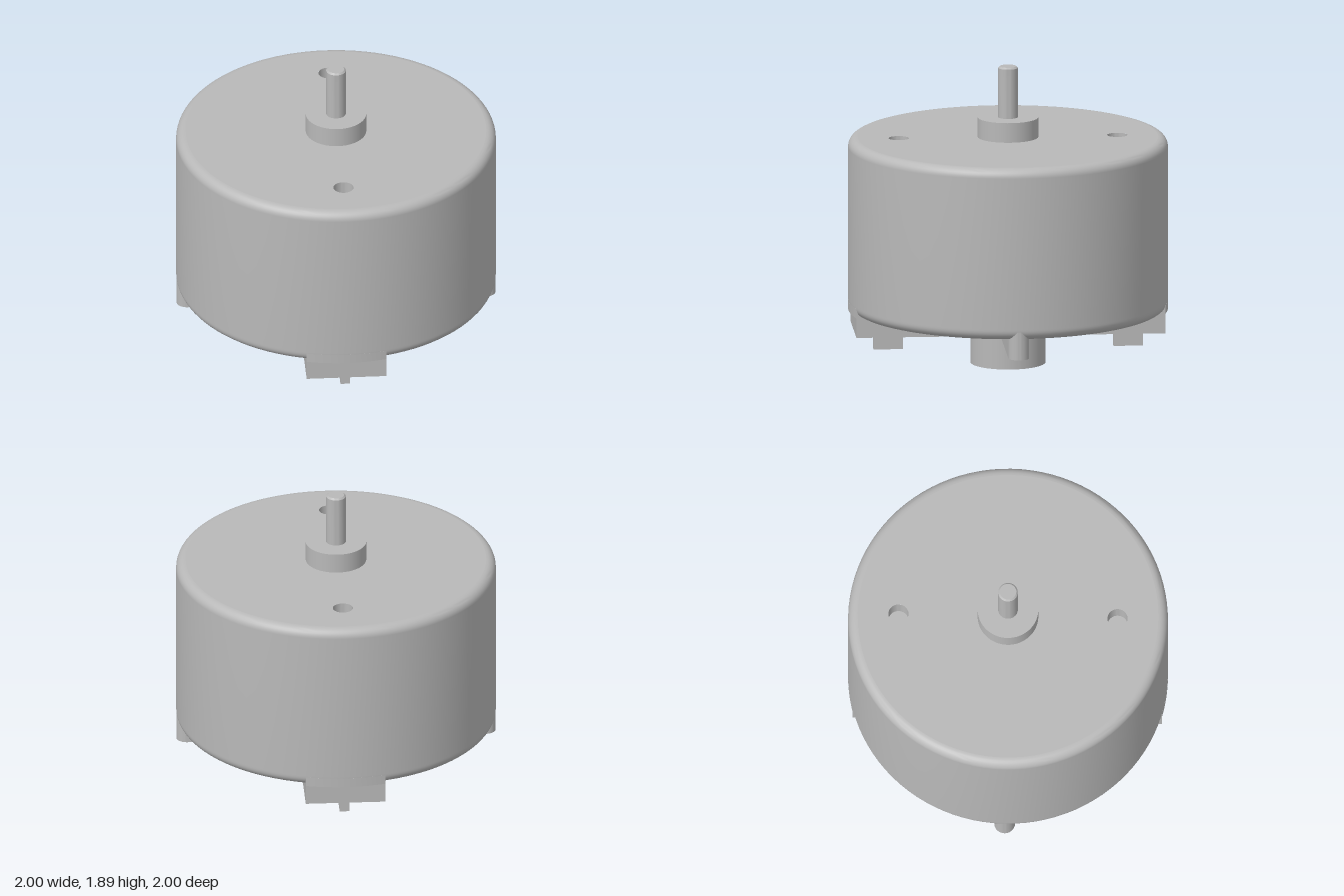
import * as THREE from 'three';
import { toCreasedNormals } from 'three/addons/utils/BufferGeometryUtils.js';

export function createModel() {
  const model = new THREE.Group();
  model.name = 'electricMotor';
  const metal = new THREE.MeshStandardMaterial({ color: 0xb8b8b8 });
  metal.name = 'grey metal';

  const add = (name, geometry, x = 0, y = 0, z = 0) => {
    const mesh = new THREE.Mesh(geometry, metal);
    mesh.name = name;
    mesh.position.set(x, y, z);
    model.add(mesh);
    return mesh;
  };
  const lathe = (points, segments) => toCreasedNormals(
    new THREE.LatheGeometry(points.map(([r, y]) => new THREE.Vector2(r, y)), segments), 0.6);
  // Extrudes a plan shape upwards from y = 0
  const slab = (shape, height) => toCreasedNormals(
    new THREE.ExtrudeGeometry(shape, { depth: height, bevelEnabled: false, curveSegments: 24 })
      .rotateX(-Math.PI / 2), 0.6);

  const bottom = 0.345, top = 1.44, fillet = 0.06;
  const holeRadius = 0.063, holeZ = 0.685;

  // Can with rounded rims, open at the top for the drilled face
  const profile = [[0, bottom], [0.93, bottom]];
  for (let i = 0; i <= 8; i++) {
    const a = (i / 8) * Math.PI / 2;
    profile.push([1 - fillet + fillet * Math.sin(a), bottom + fillet - fillet * Math.cos(a)]);
  }
  profile.push([1, bottom + fillet + 0.01], [1, top - fillet - 0.01]);
  for (let i = 0; i <= 8; i++) {
    const a = (i / 8) * Math.PI / 2;
    profile.push([1 - fillet + fillet * Math.cos(a), top - fillet + fillet * Math.sin(a)]);
  }
  add('can', lathe(profile, 96));

  // Top face with two mounting holes
  const face = new THREE.Shape().absarc(0, 0, 1 - fillet, 0, Math.PI * 2);
  for (const s of [-1, 1]) {
    face.holes.push(new THREE.Path().absarc(0, s * holeZ, holeRadius, 0, Math.PI * 2, true));
    add('mountingHole', lathe([[holeRadius, top], [holeRadius, top - 0.12], [0, top - 0.12]], 48), 0, 0, s * holeZ);
  }
  add('topFace', new THREE.ShapeGeometry(face, 48).rotateX(-Math.PI / 2), 0, top, 0);

  // Collar and output shaft
  add('collar', new THREE.CylinderGeometry(0.19, 0.19, 0.125, 64), 0, 1.5025, 0);
  add('shaft', lathe([[0, 1.44], [0.062, 1.44], [0.062, 1.88], [0.052, 1.89], [0, 1.89]], 40));

  // Rear bearing hub
  add('rearHub', new THREE.CylinderGeometry(0.235, 0.235, 0.23, 64), 0, 0.115, 0);

  // Wide bar, with its upper ends following the can wall
  add('wideBar', new THREE.BoxGeometry(0.5, 0.125, 1.936), 0, 0.2825, 0);
  const a = Math.asin(0.25);
  const plan = new THREE.Shape();
  plan.absarc(0, 0, 1, Math.PI / 2 - a, Math.PI / 2 + a);
  plan.absarc(0, 0, 1, -Math.PI / 2 - a, -Math.PI / 2 + a);
  add('wideBarUpper', slab(plan, 0.06), 0, bottom, 0);

  // Narrow cross rib with rounded ends
  const r = 0.065;
  const rib = new THREE.Shape();
  rib.absarc(1 - r, 0, r, -Math.PI / 2, Math.PI / 2);
  rib.absarc(-1 + r, 0, r, Math.PI / 2, Math.PI * 1.5);
  add('crossRib', slab(rib, 0.18), 0, 0.22, 0);

  // Electrical terminals
  for (const s of [-1, 1]) {
    add('terminal', new THREE.BoxGeometry(0.06, 0.13, 0.185), 0, 0.163, s * 0.752);
  }
  return model;
}
